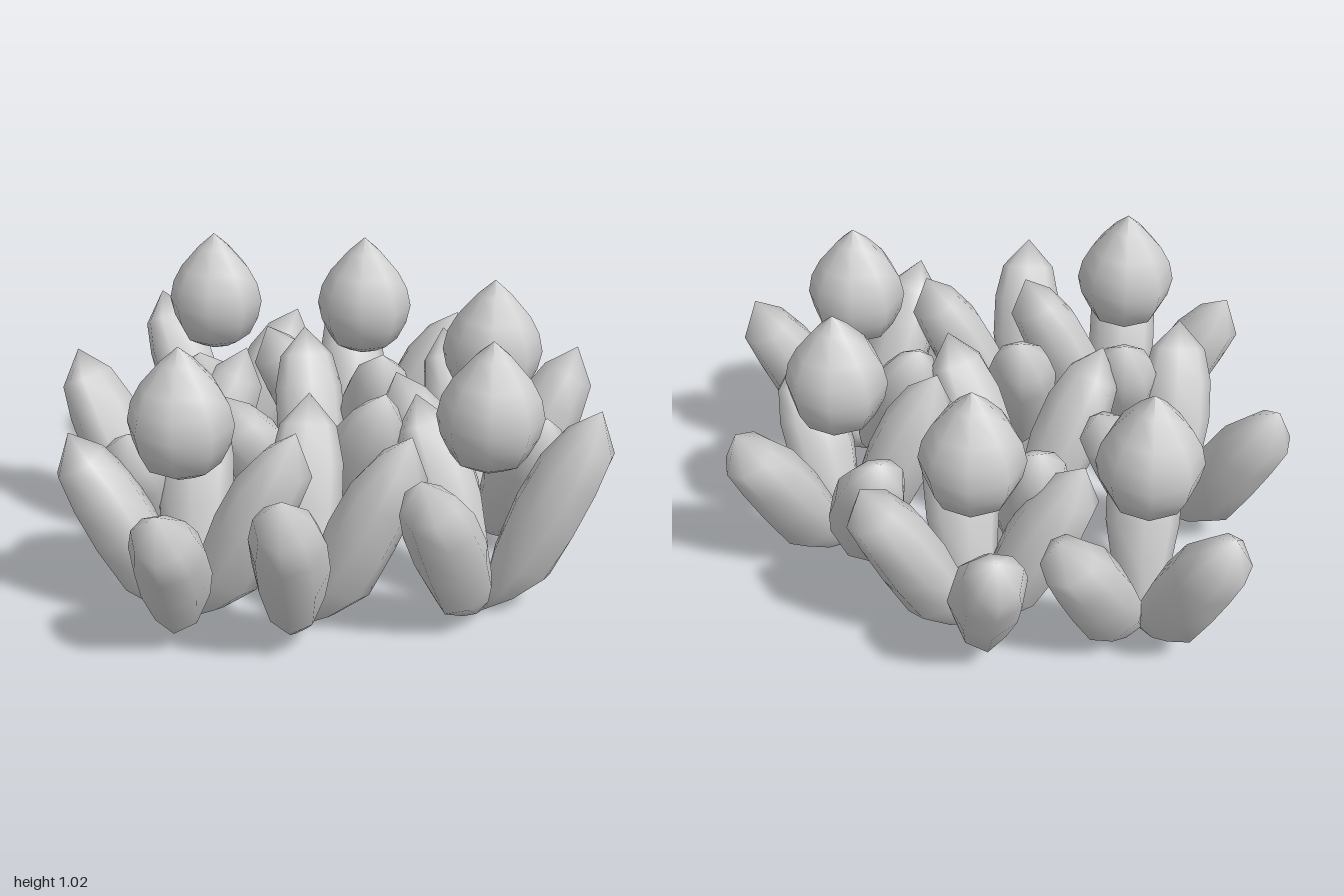
import * as THREE from 'three';
import { mergeVertices } from 'three/addons/utils/BufferGeometryUtils.js';

const material = new THREE.MeshStandardMaterial({ color: 0xcccccc });

function lathe(points, sides) {
  return new THREE.LatheGeometry(points.map(([r, y]) => new THREE.Vector2(r, y)), sides);
}

// Thick pointed leaf of unit length whose outer side (+z) bulges more than its inner side
function makeLeaf() {
  // Rings: height, half width, outer depth, inner depth
  const rings = [
    [0, 0, 0, 0], [0.12, 0.055, 0.085, 0.04], [0.27, 0.1, 0.152, 0.075], [0.5, 0.13, 0.147, 0.1],
    [0.7, 0.128, 0.135, 0.1], [0.86, 0.1, 0.12, 0.065], [1, 0, 0, 0],
  ];
  const geometry = lathe(rings.map(([y, half]) => [half, y]), 8);
  const position = geometry.attributes.position;
  for (let i = 0; i < position.count; i++) {
    const [, half, outer, inner] = rings[i % rings.length];
    const z = position.getZ(i);
    if (half > 0) position.setZ(i, z * (z > 0 ? outer : inner) / half);
  }
  geometry.deleteAttribute('uv');
  geometry.deleteAttribute('normal');
  const leaf = mergeVertices(geometry);
  leaf.computeVertexNormals();
  return leaf;
}

// Each plant: base x, base z, has a flower bud, leaf tips as [x, y, z]
const plants = [
  [-0.50, -0.56, true, [[-0.77, 0.67, -0.84], [-0.21, 0.62, -0.82], [-0.50, 0.68, -0.19]]],
  [0.08, -0.57, true, [[-0.02, 0.65, -0.96], [0.44, 0.69, -0.67], [0.18, 0.70, -0.19], [-0.29, 0.67, -0.50]]],
  [0.58, -0.16, true, [[0.90, 0.68, -0.39], [0.78, 0.63, 0.15], [0.24, 0.70, -0.04], [0.39, 0.68, -0.53]]],
  [0.58, 0.41, true, [[0.95, 0.75, 0.33], [0.37, 0.68, 0.76], [0.32, 0.69, 0.12]]],
  [-0.43, 0.56, true, [[-0.82, 0.68, 0.53], [-0.44, 0.61, 0.95], [-0.43, 0.70, 0.17], [-0.05, 0.73, 0.56]]],
  [-0.04, 0.57, false, [[0.33, 0.73, 0.55], [-0.05, 0.68, 0.94], [-0.05, 0.70, 0.17]]],
  [-0.05, -0.10, false, [[-0.14, 0.69, -0.46], [-0.35, 0.68, 0.19], [0.22, 0.72, 0.20]]],
  [-0.63, 0.05, false, [[-0.96, 0.68, -0.18], [-0.33, 0.69, -0.23], [-0.64, 0.64, 0.44]]],
];

export function createModel() {
  const group = new THREE.Group();
  group.name = 'flowerBed';

  const leafGeometry = makeLeaf();
  // Round flower bud with a pointed top
  const budGeometry = lathe(
    [[0, 0.565], [0.07, 0.575], [0.13, 0.61], [0.165, 0.68], [0.18, 0.75], [0.165, 0.82], [0.13, 0.885], [0.06, 0.967], [0, 1.02]], 8);

  for (const [x, z, hasBud, tips] of plants) {
    const plant = new THREE.Group();
    plant.name = hasBud ? 'floweringPlant' : 'leafyPlant';
    plant.position.set(x, 0, z);

    // Leaves fan out from the base towards their tips
    for (const [tx, ty, tz] of tips) {
      const reach = Math.hypot(tx - x, tz - z);
      const leaf = new THREE.Mesh(leafGeometry, material);
      leaf.name = 'leaf';
      leaf.scale.set(1, Math.hypot(reach, ty), 1);
      leaf.rotation.set(Math.atan2(reach, ty), Math.atan2(tx - x, tz - z), 0, 'YXZ');
      plant.add(leaf);
    }

    // Bud above the leaves
    if (hasBud) {
      const bud = new THREE.Mesh(budGeometry, material);
      bud.name = 'flowerBud';
      plant.add(bud);
    }
    group.add(plant);
  }
  return group;
}
